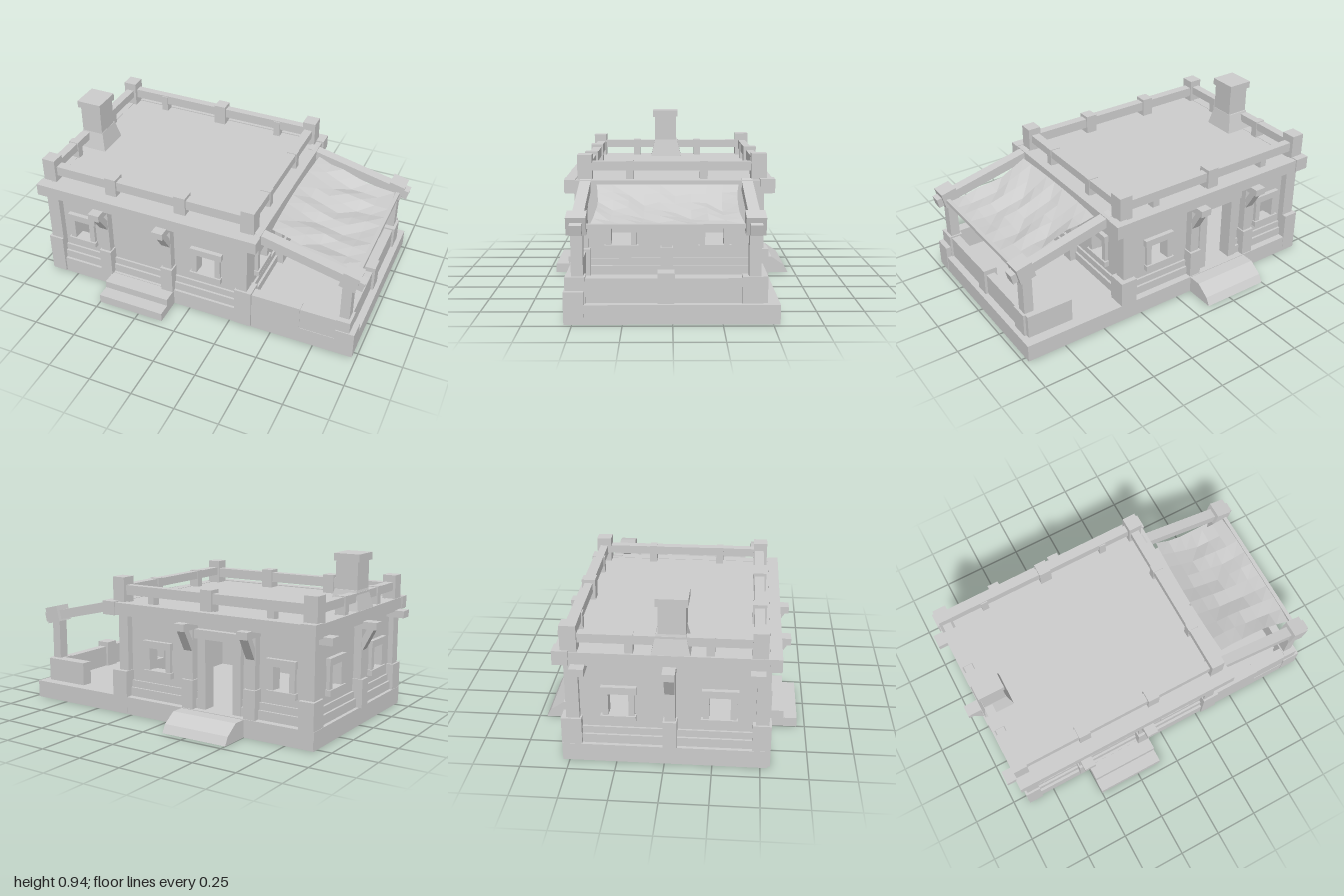
import * as THREE from 'three';

const stone = new THREE.MeshStandardMaterial({ color: 0xcccccc });
stone.name = 'plain grey';
stone.flatShading = true;
stone.side = THREE.DoubleSide;

export function createModel() {
  const root = new THREE.Group();
  root.name = 'house';
  const add = (name, geo, parent = root) => {
    const m = new THREE.Mesh(geo, stone);
    m.name = name;
    parent.add(m);
    return m;
  };
  // Box given by its minimum and maximum on each axis
  const box = (name, x0, x1, y0, y1, z0, z1, parent) => {
    const m = add(name, new THREE.BoxGeometry(x1 - x0, y1 - y0, z1 - z0), parent);
    m.position.set((x0 + x1) / 2, (y0 + y1) / 2, (z0 + z1) / 2);
    return m;
  };
  // Square bar between two points
  const bar = (name, a, b, w, h, parent) => {
    const p = new THREE.Vector3(...a), q = new THREE.Vector3(...b);
    const m = add(name, new THREE.BoxGeometry(w, h, p.distanceTo(q)), parent);
    m.position.copy(p).add(q).multiplyScalar(0.5);
    m.lookAt(q);
    return m;
  };

  // Foundation, front steps and back ramp
  box('foundation', -0.915, 0.975, 0, 0.1, -0.535, 0.54);
  box('lowerStep', -0.5, -0.1, 0, 0.053, 0.53, 0.705);
  box('upperStep', -0.5, -0.1, 0, 0.097, 0.53, 0.63);
  const rampShape = new THREE.Shape([[0.52, 0], [0.71, 0], [0.685, 0.045], [0.61, 0.097], [0.52, 0.097]]
    .map(p => new THREE.Vector2(...p)));
  const ramp = add('backRamp', new THREE.ExtrudeGeometry(rampShape, { depth: 0.4, bevelEnabled: false }));
  ramp.rotation.y = Math.PI / 2;
  ramp.position.x = -0.5;

  // Walls with window and door openings; u runs along the wall
  const FRONT = 0.5, BACK = -0.47, LEFT = 0.33, RIGHT = -0.87, T = 0.05;
  const xWindows = [[-0.745, -0.65], [0.04, 0.15]];
  const zWindows = [[-0.29, -0.185], [0.23, 0.34]];
  const wallGeo = (u0, u1, windows, door) => {
    const s = new THREE.Shape();
    const outline = [[u0, 0.1]];
    if (door) outline.push([door[0], 0.1], [door[0], 0.5], [door[1], 0.5], [door[1], 0.1]);
    outline.push([u1, 0.1], [u1, 0.6], [u0, 0.6]);
    s.setFromPoints(outline.map(p => new THREE.Vector2(...p)));
    for (const [a, b] of windows) {
      s.holes.push(new THREE.Path([[a, 0.265], [a, 0.397], [b, 0.397], [b, 0.265]]
        .map(p => new THREE.Vector2(...p))));
    }
    return new THREE.ExtrudeGeometry(s, { depth: T, bevelEnabled: false });
  };
  add('frontWall', wallGeo(RIGHT, LEFT, xWindows)).position.z = FRONT - T;
  add('backWall', wallGeo(RIGHT, LEFT, xWindows, [-0.41, -0.235])).position.z = BACK;
  for (const [name, x] of [['leftWall', LEFT - T], ['rightWall', RIGHT]]) {
    const w = add(name, wallGeo(-FRONT, -BACK, zWindows.map(([a, b]) => [-b, -a])));
    w.rotation.y = Math.PI / 2;
    w.position.x = x;
  }

  // Window frames: two jambs, a wider lintel and a sill, on any wall
  const frame = (u0, u1, face, dir, alongX) => {
    const g = new THREE.Group();
    g.name = 'windowFrame';
    root.add(g);
    const piece = (name, a, b, y0, y1, out) => {
      const d0 = Math.min(face - dir * 0.02, face + dir * out);
      const d1 = Math.max(face - dir * 0.02, face + dir * out);
      if (alongX) box(name, a, b, y0, y1, d0, d1, g);
      else box(name, d0, d1, y0, y1, a, b, g);
    };
    piece('jamb', u0 - 0.032, u0, 0.26, 0.4, 0.02);
    piece('jamb', u1, u1 + 0.032, 0.26, 0.4, 0.02);
    piece('lintel', u0 - 0.038, u1 + 0.042, 0.395, 0.435, 0.026);
    piece('sill', u0 - 0.042, u1 + 0.038, 0.235, 0.268, 0.03);
  };
  for (const [a, b] of xWindows) {
    frame(a, b, FRONT, 1, true);
    frame(a, b, BACK, -1, true);
  }
  for (const [a, b] of zWindows) {
    frame(a, b, LEFT, 1, false);
    frame(a, b, RIGHT, -1, false);
  }

  // Back door frame
  for (const x of [-0.46, -0.235]) box('doorJamb', x, x + 0.05, 0.1, 0.5, BACK - 0.03, BACK + 0.02);
  box('doorLintel', -0.48, -0.165, 0.49, 0.54, BACK - 0.035, BACK + 0.02);

  // Stepped plinth boards around the walls
  for (const [top, out] of [[0.15, 0.025], [0.19, 0.012]]) {
    box('frontPlinth', RIGHT, LEFT, 0.1, top, FRONT - 0.01, FRONT + out);
    box('backPlinth', RIGHT, -0.46, 0.1, top, BACK - out, BACK + 0.01);
    box('backPlinth', -0.185, LEFT, 0.1, top, BACK - out, BACK + 0.01);
    box('rightPlinth', RIGHT - out, RIGHT + 0.01, 0.1, top, BACK, FRONT);
    box('leftPlinth', LEFT - 0.01, LEFT + out, 0.1, top, BACK, FRONT);
  }

  // Corner posts with thicker feet
  for (const [x0, x1, f0, f1] of [[-0.9, -0.825, -0.913, -0.825], [0.288, 0.352, 0.283, 0.382]]) {
    for (const [z0, z1, g0, g1] of [[0.47, 0.54, 0.455, 0.552], [-0.51, -0.44, -0.537, -0.43]]) {
      box('cornerPost', x0, x1, 0.1, 0.58, z0, z1);
      box('cornerFoot', f0, f1, 0.01, 0.25, g0, g1);
    }
  }

  // Bracketed posts: foot, shaft, projecting stub and diagonal brace, built facing +z
  const bracketPost = (x, z, turn, reach = 0.145) => {
    const g = new THREE.Group();
    g.name = 'bracketPost';
    box('foot', -0.036, 0.036, 0.1, 0.26, -0.02, 0.06, g);
    box('shaft', -0.028, 0.028, 0.25, 0.58, -0.02, 0.045, g);
    box('stub', -0.033, 0.033, 0.54, 0.58, -0.02, reach, g);
    bar('brace', [0, 0.43, 0.035], [0, 0.555, reach - 0.03], 0.052, 0.035, g);
    g.position.set(x, 0, z);
    g.rotation.y = turn;
    root.add(g);
  };
  for (const x of [-0.53, -0.135]) {
    bracketPost(x, FRONT, 0);
    bracketPost(x, BACK, Math.PI, 0.135);
  }
  bracketPost(RIGHT, 0.03, -Math.PI / 2, 0.13);
  bracketPost(LEFT, 0.03, Math.PI / 2, 0.13);
  for (const z of [-0.43, 0.475]) box('cornerStub', -0.975, -0.85, 0.535, 0.576, z - 0.04, z + 0.035);

  // Flat roof with edge beams
  box('roof', -0.91, 0.405, 0.58, 0.64, -0.54, 0.575);
  box('frontRoofBeam', -0.925, 0.42, 0.575, 0.645, 0.53, 0.59);
  box('backRoofBeam', -0.925, 0.42, 0.575, 0.645, -0.555, -0.495);
  box('rightRoofBeam', -0.92, -0.86, 0.57, 0.642, -0.55, 0.585);
  box('leftRoofBeam', 0.355, 0.415, 0.57, 0.642, -0.55, 0.585);
  for (const x of [-0.928, 0.34]) box('roofCorner', x, x + 0.085, 0.572, 0.65, -0.562, -0.48);

  // Roof railing
  for (const x of [-0.915, 0.302]) {
    box('railPillar', x, x + 0.078, 0.64, 0.778, 0.44, 0.52);
    box('railPillar', x, x + 0.078, 0.64, 0.785, -0.52, -0.435);
  }
  box('frontRail', -0.86, 0.32, 0.675, 0.732, 0.448, 0.5);
  box('backRail', -0.86, 0.32, 0.685, 0.74, -0.5, -0.455);
  box('rightRail', -0.9, -0.852, 0.69, 0.738, -0.45, 0.46);
  box('leftRail', 0.312, 0.362, 0.69, 0.738, -0.45, 0.46);
  for (const x of [-0.487, -0.06]) box('railPost', x - 0.034, x + 0.034, 0.64, 0.75, 0.438, 0.512);
  box('railPost', -0.282, -0.212, 0.64, 0.76, -0.515, -0.44);
  for (const x of [-0.635, 0.13]) box('railPost', x - 0.02, x + 0.02, 0.64, 0.735, -0.498, -0.448);
  for (const z of [0.233, -0.175]) {
    for (const x of [-0.877, 0.337]) box('railPost', x - 0.03, x + 0.03, 0.64, 0.742, z - 0.021, z + 0.021);
  }

  // Chimney with flared foot and cap
  box('chimneyShaft', -0.895, -0.767, 0.64, 0.91, -0.03, 0.11);
  box('chimneyCap', -0.908, -0.758, 0.903, 0.944, -0.042, 0.122);
  const flare = add('chimneyFoot', new THREE.CylinderGeometry(0.095, 0.128, 0.11, 4, 1).rotateY(Math.PI / 4));
  flare.position.set(-0.83, 0.695, 0.035);
  flare.scale.set(0.97, 1, 1.1);

  // Terrace parapet
  box('frontParapet', 0.37, 0.665, 0.09, 0.237, 0.48, 0.54);
  box('frontParapet', 0.66, 0.935, 0.09, 0.232, 0.475, 0.537);
  box('backParapet', 0.665, 0.935, 0.09, 0.235, -0.475, -0.41);
  box('sideParapet', 0.885, 0.935, 0.09, 0.226, -0.44, 0.5);
  box('parapetPost', 0.87, 0.95, 0.1, 0.255, -0.01, 0.075);

  // Canopy posts, sloping beams and end blocks
  const slope = Math.atan2(0.135, 0.56);
  for (const z of [0.475, -0.41]) {
    box('canopyPost', 0.878, 0.933, 0.1, 0.5, z - 0.03, z + 0.03);
    box('canopyPostFoot', 0.87, 0.948, 0.1, 0.235, z - 0.04, z + 0.062);
    bar('canopyBeam', [0.36, 0.622, z], [0.99, 0.477, z], 0.06, 0.055);
    const block = box('canopyEndBlock', 0.87, 0.963, 0.455, 0.55, z - 0.05, z + 0.05);
    block.rotation.z = -slope;
  }
  box('foundationCorner', 0.87, 0.978, 0.01, 0.165, 0.44, 0.543);
  bar('canopyRod', [0.935, 0.49, -0.42], [0.935, 0.49, 0.48], 0.022, 0.022);

  // Sagging, creased cloth
  const cloth = new THREE.PlaneGeometry(1, 1, 6, 9);
  const p = cloth.attributes.position;
  for (let i = 0; i < p.count; i++) {
    const u = p.getX(i) + 0.5, v = 0.5 - p.getY(i);
    const edge = 4 * v * (1 - v), span = 4 * u * (1 - u);
    const crease = 0.012 * Math.sin(v * 23 + u * 4) + 0.007 * Math.sin(v * 41 - u * 13);
    p.setXYZ(i, 0.43 + 0.5 * u + 0.012 * (1 - edge) * (1 - 2 * u),
      0.622 - 0.128 * u - 0.04 * span * (0.3 + 0.7 * edge) + crease * span,
      -0.36 + 0.77 * v + 0.02 * span * (1 - 2 * v));
  }
  cloth.computeVertexNormals();
  add('canopyCloth', cloth);

  return root;
}
